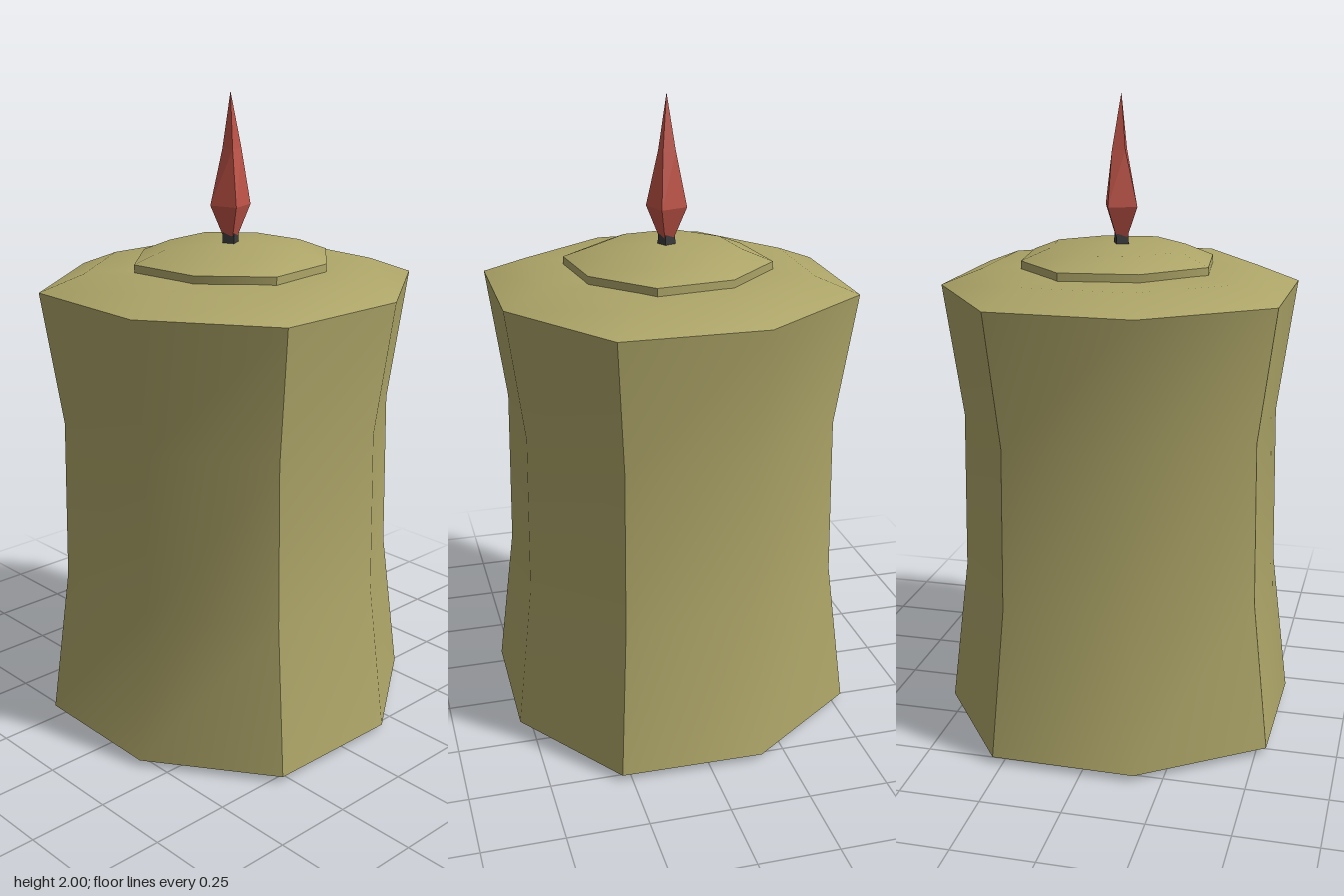
import * as THREE from 'three';
import { toCreasedNormals } from 'three/addons/utils/BufferGeometryUtils.js';

// Lofts [y, radius, turn in degrees, x offset] rings, bottom to top.
// Corners alternate between slightly longer and shorter radii.
function loft(rings, sides, turn, uneven, crease) {
  const corner = ([y, r, twist = 0, cx = 0], j) => {
    const k = j % sides;
    const a = THREE.MathUtils.degToRad(turn + twist) + (k / sides) * Math.PI * 2;
    const rr = r * (1 + (k % 2 ? -uneven : uneven));
    return [cx + rr * Math.cos(a), y, rr * Math.sin(a)];
  };
  const pos = [];
  for (let i = 0; i < rings.length - 1; i++) {
    const lo = rings[i], hi = rings[i + 1];
    for (let j = 0; j < sides; j++) {
      if (lo[1] > 0) pos.push(...corner(lo, j), ...corner(hi, j), ...corner(lo, j + 1));
      if (hi[1] > 0) pos.push(...corner(hi, j), ...corner(hi, j + 1), ...corner(lo, j + 1));
    }
  }
  const g = new THREE.BufferGeometry();
  g.setAttribute('position', new THREE.Float32BufferAttribute(pos, 3));
  g.computeVertexNormals();
  return crease ? toCreasedNormals(g, THREE.MathUtils.degToRad(crease)) : g;
}

export function createModel() {
  const group = new THREE.Group();
  const wax = new THREE.MeshStandardMaterial({ color: 0xada568, side: THREE.DoubleSide });
  const add = (name, geometry, material) => {
    const mesh = new THREE.Mesh(geometry, material);
    mesh.name = name;
    group.add(mesh);
  };

  // Waisted outer wax shell, open underneath, with a shallow sloping shoulder
  add('waxBody', loft([
    [0.02, 0.583], [0.49, 0.525], [1.0, 0.517], [1.42, 0.578],
    [1.47, 0.445], [1.475, 0.28],
  ], 8, 27.8, 0.033, 50), wax);

  // Inner wax core: foot, narrow flange, column and domed top
  add('waxCore', loft([
    [0, 0], [0, 0.314], [0.02, 0.314], [0.025, 0.37], [0.04, 0.37], [0.045, 0.314],
    [1.498, 0.314], [1.535, 0.22], [1.545, 0],
  ].map(([y, r]) => [y, r, 0, 0.01]), 8, 20, 0.03, 50), wax);

  // Short dark wick
  add('wick', loft([
    [1.53, 0.028], [1.575, 0.026], [1.58, 0],
  ], 4, 20, 0, 0), new THREE.MeshStandardMaterial({ color: 0x3a3a3a }));

  // Four-sided, slightly twisted flame
  add('flame', loft([
    [1.565, 0], [1.565, 0.024], [1.66, 0.064], [1.83, 0.029, 12, 0.006], [2.0, 0],
  ], 4, 27, 0, 0), new THREE.MeshStandardMaterial({ color: 0xbf5347 }));

  return group;
}
